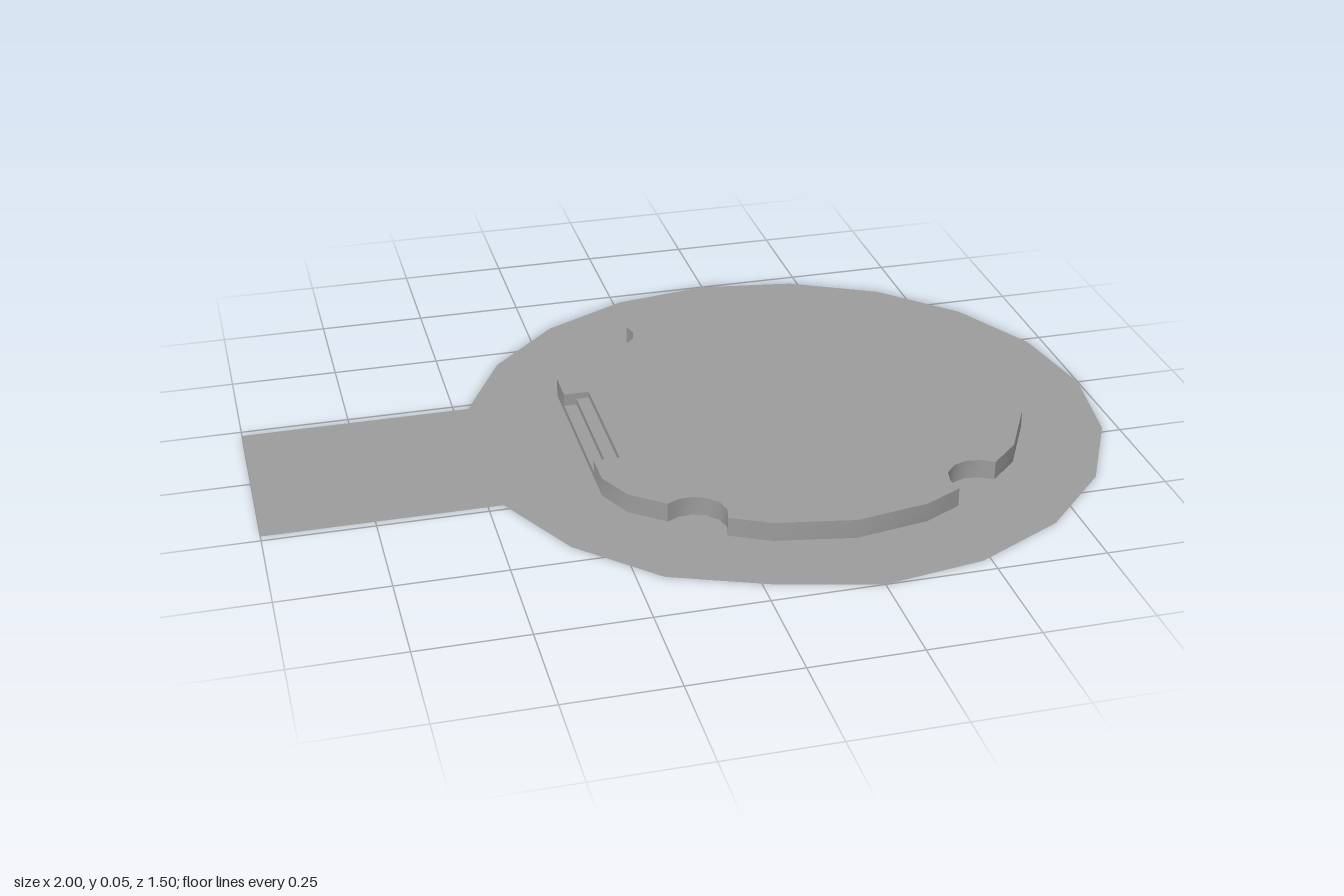
import * as THREE from 'three';
import { toCreasedNormals } from 'three/addons/utils/BufferGeometryUtils.js';

const H = 0.045;          // height of the raised body
const STEP = H / 3;       // height of each slot step
const CX = 0.25;          // centre of the round parts
const CREASE = Math.PI / 4;
const material = new THREE.MeshStandardMaterial({ color: 0x9c9c9c, side: THREE.DoubleSide });

const toShapePoints = (pts) => pts.map(([x, z]) => new THREE.Vector2(x, -z));

// Horizontal face through [x, z] points
function face(name, pts, y, holes = []) {
  const shape = new THREE.Shape(toShapePoints(pts));
  for (const hole of holes) shape.holes.push(new THREE.Path(toShapePoints(hole)));
  const geometry = new THREE.ShapeGeometry(shape).rotateX(-Math.PI / 2);
  const mesh = new THREE.Mesh(geometry, material);
  mesh.name = name;
  mesh.position.y = y;
  return mesh;
}

// Upright wall along [x, z] points, outside on the left of the path
function wall(name, pts, y0, y1) {
  const positions = [];
  for (let i = 0; i < pts.length - 1; i++) {
    const [ax, az] = pts[i], [bx, bz] = pts[i + 1];
    positions.push(bx, y0, bz, ax, y0, az, ax, y1, az);
    positions.push(bx, y0, bz, ax, y1, az, bx, y1, bz);
  }
  const geometry = new THREE.BufferGeometry();
  geometry.setAttribute('position', new THREE.Float32BufferAttribute(positions, 3));
  const mesh = new THREE.Mesh(toCreasedNormals(geometry, CREASE), material);
  mesh.name = name;
  return mesh;
}

function ring(radius, sides) {
  return Array.from({ length: sides }, (_, i) => {
    const a = (i / sides) * Math.PI * 2;
    return [CX + radius * Math.cos(a), radius * Math.sin(a)];
  });
}

export function createModel() {
  const model = new THREE.Group();
  model.name = 'paddlePlate';

  // Half outline of the raised body, from the flat side round to the far end
  const half = [
    [-0.245, -0.245], [-0.205, -0.33], [-0.13, -0.39],
    [-0.1, -0.376], [-0.07, -0.375], [-0.04, -0.388], [-0.018, -0.412], [-0.01, -0.445], [-0.018, -0.48],
    [0.07, -0.525], [0.25, -0.558], [0.42, -0.53], [0.51, -0.485],
    [0.502, -0.45], [0.51, -0.412], [0.535, -0.385], [0.567, -0.373], [0.6, -0.378], [0.63, -0.395],
    [0.70, -0.33], [0.78, -0.18],
  ];
  const mirrored = half.map(([x, z]) => [x, -z]).reverse();
  const rim = [...half, [0.803, 0], ...mirrored];

  // Thin base: twenty-sided disc with a rectangular tab, around the raised body
  const disc = ring(0.75, 20);
  disc[6][1] = 0.69;
  disc.splice(10, 1, [-1, 0.232], [-1, -0.232]);
  disc[9] = [-0.465, 0.232];
  disc[12] = [-0.465, -0.232];
  model.add(face('basePlate', disc, 0, [rim]));

  // Raised body, hollow from below through a round opening
  const s = 0.163, x0 = -0.245, x1 = -0.215, x2 = -0.185;
  const body = new THREE.Group();
  body.name = 'raisedBody';
  body.add(
    face('topFace', [...rim, [x0, s], [x2, s], [x2, -s], [x0, -s]], H),
    wall('sideWall', [[x0, -s], ...rim, [x0, s]], 0, H),
    face('undersideRing', rim, 0, [ring(0.46, 48)]),
  );

  // Stepped slot in the flat side
  const slot = new THREE.Group();
  slot.name = 'steppedSlot';
  const tread = (a, b) => [[a, -s], [b, -s], [b, s], [a, s]];
  slot.add(
    wall('slotFront', [[x0, s], [x0, -s]], 0, STEP),
    face('lowerTread', tread(x0, x1), STEP),
    wall('lowerRiser', [[x0, s], [x1, s], [x1, -s], [x0, -s]], STEP, 2 * STEP),
    face('upperTread', tread(x1, x2), 2 * STEP),
    wall('upperRiser', [[x0, s], [x2, s], [x2, -s], [x0, -s]], 2 * STEP, H),
  );
  body.add(slot);
  model.add(body);
  return model;
}
